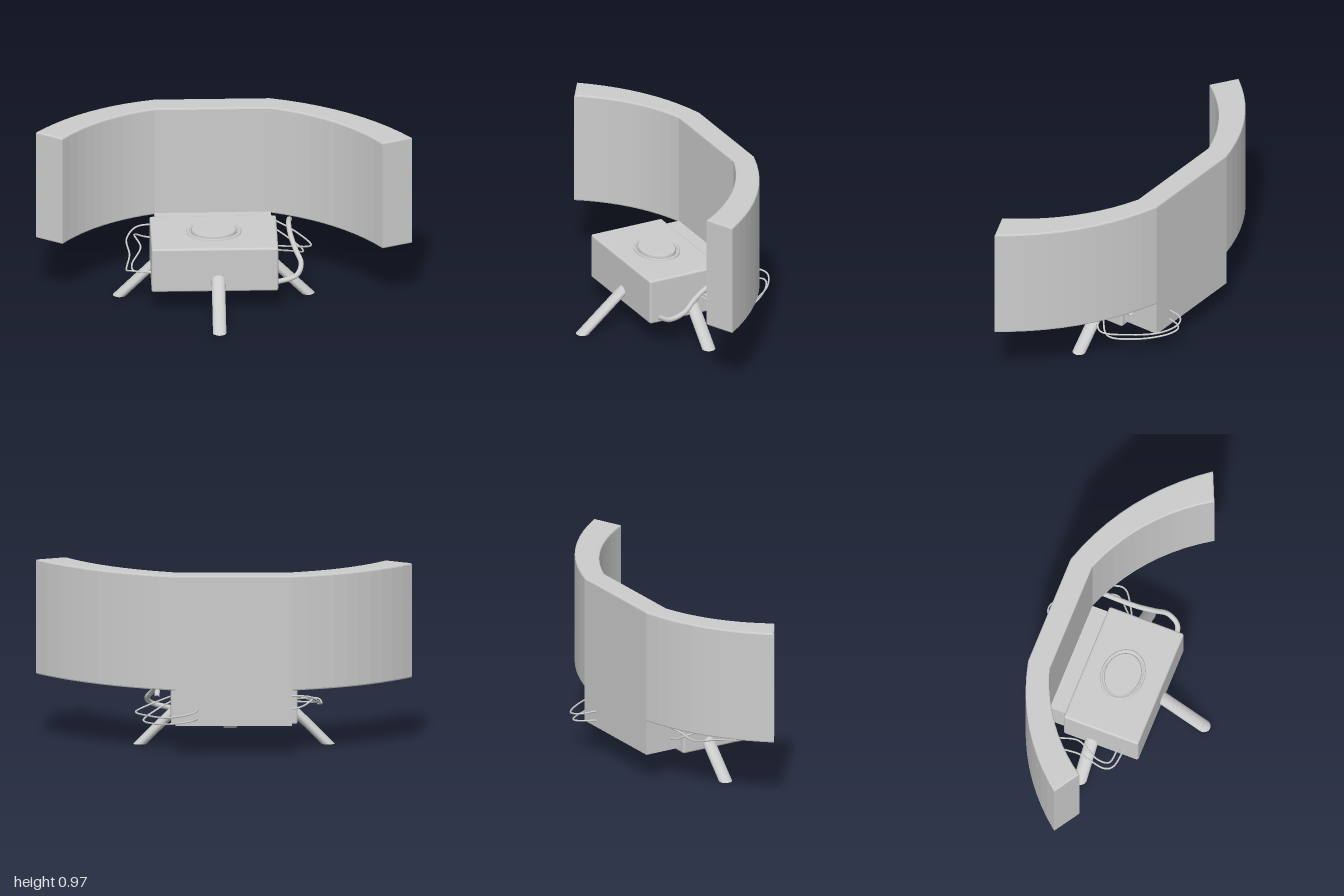
import * as THREE from 'three';
import { RoundedBoxGeometry } from 'three/addons/geometries/RoundedBoxGeometry.js';

const material = new THREE.MeshStandardMaterial({ color: 0xcccccc });

export function createModel() {
  const model = new THREE.Group();

  const add = (name, geometry, x = 0, y = 0, z = 0) => {
    const mesh = new THREE.Mesh(geometry, material);
    mesh.name = name;
    mesh.position.set(x, y, z);
    model.add(mesh);
    return mesh;
  };

  // Curved panel: flat middle with two swept wings, drawn in plan (shape y = -z)
  const plan = new THREE.Shape();
  plan.moveTo(-0.36, 0.275);
  plan.quadraticCurveTo(-0.672, 0.177, -0.86, -0.09);
  plan.lineTo(-1, 0);
  plan.quadraticCurveTo(-0.749, 0.31, -0.36, 0.4);
  plan.lineTo(0.26, 0.4);
  plan.quadraticCurveTo(0.716, 0.263, 1, -0.125);
  plan.lineTo(0.84, -0.195);
  plan.quadraticCurveTo(0.628, 0.139, 0.26, 0.275);
  plan.closePath();
  const bevel = 0.008;
  const panel = new THREE.ExtrudeGeometry(plan, {
    depth: 0.62 - 2 * bevel, curveSegments: 10,
    bevelSize: bevel, bevelOffset: -bevel, bevelThickness: bevel, bevelSegments: 2,
  });
  panel.rotateX(-Math.PI / 2);
  add('curvedPanel', panel, 0, 0.35 + bevel, 0);

  // Block joining the panel to the body
  add('neckBlock', new THREE.BoxGeometry(0.62, 0.2, 0.22), -0.05, 0.26, -0.29);

  // Main body
  add('body', new RoundedBoxGeometry(0.675, 0.252, 0.427, 3, 0.012), -0.053, 0.257, 0.027);

  // Oval button: a low rim, a groove and a raised cap
  const lathe = (points) =>
    new THREE.LatheGeometry(points.map(([r, y]) => new THREE.Vector2(r, y)), 40);
  const rim = add('buttonRim', lathe([
    [0.147, 0], [0.147, 0.008], [0.142, 0.011], [0.13, 0.011], [0.128, 0.002],
  ]), -0.053, 0.381, 0.022);
  const cap = add('buttonCap', lathe([
    [0.121, 0], [0.121, 0.017], [0.116, 0.02], [0.116, 0.02], [0, 0.02],
  ]), -0.053, 0.381, 0.022);
  rim.scale.z = cap.scale.z = 0.8;

  // Legs: round in plan and slanted, so the feet lie flat on the ground
  const leg = (name, x, z, slantX, slantZ) => {
    const h = 0.25;
    const geometry = new THREE.CylinderGeometry(0.036, 0.036, h, 24);
    geometry.translate(0, h / 2, 0);
    geometry.applyMatrix4(new THREE.Matrix4().set(
      1, slantX, 0, 0,
      0, 1, 0, 0,
      0, slantZ, 1, 0,
      0, 0, 0, 1));
    geometry.computeVertexNormals();
    add(name, geometry, x, 0, z);
  };
  leg('frontLeg', -0.035, 0.478, 0, -1.2);
  leg('rightLeg', -0.553, -0.025, 1, 0);
  leg('leftLeg', 0.448, -0.025, -1, 0);

  // Cables, swept along smooth paths
  const cable = (name, radius, points) => {
    const path = new THREE.CatmullRomCurve3(points.map((p) => new THREE.Vector3(...p)));
    add(name, new THREE.TubeGeometry(path, 60, radius, radius > 0.01 ? 14 : 8));
  };
  cable('thickCable', 0.014, [
    [0.27, 0.155, 0.18], [0.38, 0.185, 0.165], [0.41, 0.225, 0.1], [0.385, 0.27, 0.03],
    [0.36, 0.312, -0.06], [0.35, 0.34, -0.17], [0.355, 0.33, -0.24], [0.36, 0.298, -0.31],
  ]);
  cable('upperLoopCable', 0.005, [
    [0.27, 0.265, -0.05], [0.37, 0.235, -0.1], [0.47, 0.202, -0.18], [0.4, 0.205, -0.34],
    [0.3, 0.215, -0.46], [0.21, 0.236, -0.505], [0.16, 0.246, -0.48], [0.14, 0.25, -0.38],
  ]);
  cable('lowerLoopCable', 0.005, [
    [0.27, 0.24, -0.05], [0.36, 0.2, -0.12], [0.43, 0.16, -0.2], [0.37, 0.162, -0.34],
    [0.26, 0.185, -0.47], [0.2, 0.198, -0.495], [0.17, 0.2, -0.47], [0.14, 0.195, -0.38],
  ]);
  cable('outerSideCable', 0.005, [
    [-0.37, 0.21, 0.16], [-0.5, 0.215, 0.14], [-0.52, 0.2, 0.1], [-0.5, 0.22, -0.05],
    [-0.51, 0.25, -0.2], [-0.46, 0.29, -0.25], [-0.34, 0.3, -0.27],
  ]);
  cable('innerSideCable', 0.005, [
    [-0.37, 0.2, 0.125], [-0.48, 0.2, 0.11], [-0.49, 0.21, 0.05], [-0.44, 0.25, -0.08],
    [-0.47, 0.27, -0.2], [-0.42, 0.24, -0.24], [-0.34, 0.22, -0.25],
  ]);

  // Lathe profiles run upwards and inwards, so show both faces of the rim
  rim.material = material.clone();
  rim.material.side = THREE.DoubleSide;
  return model;
}
